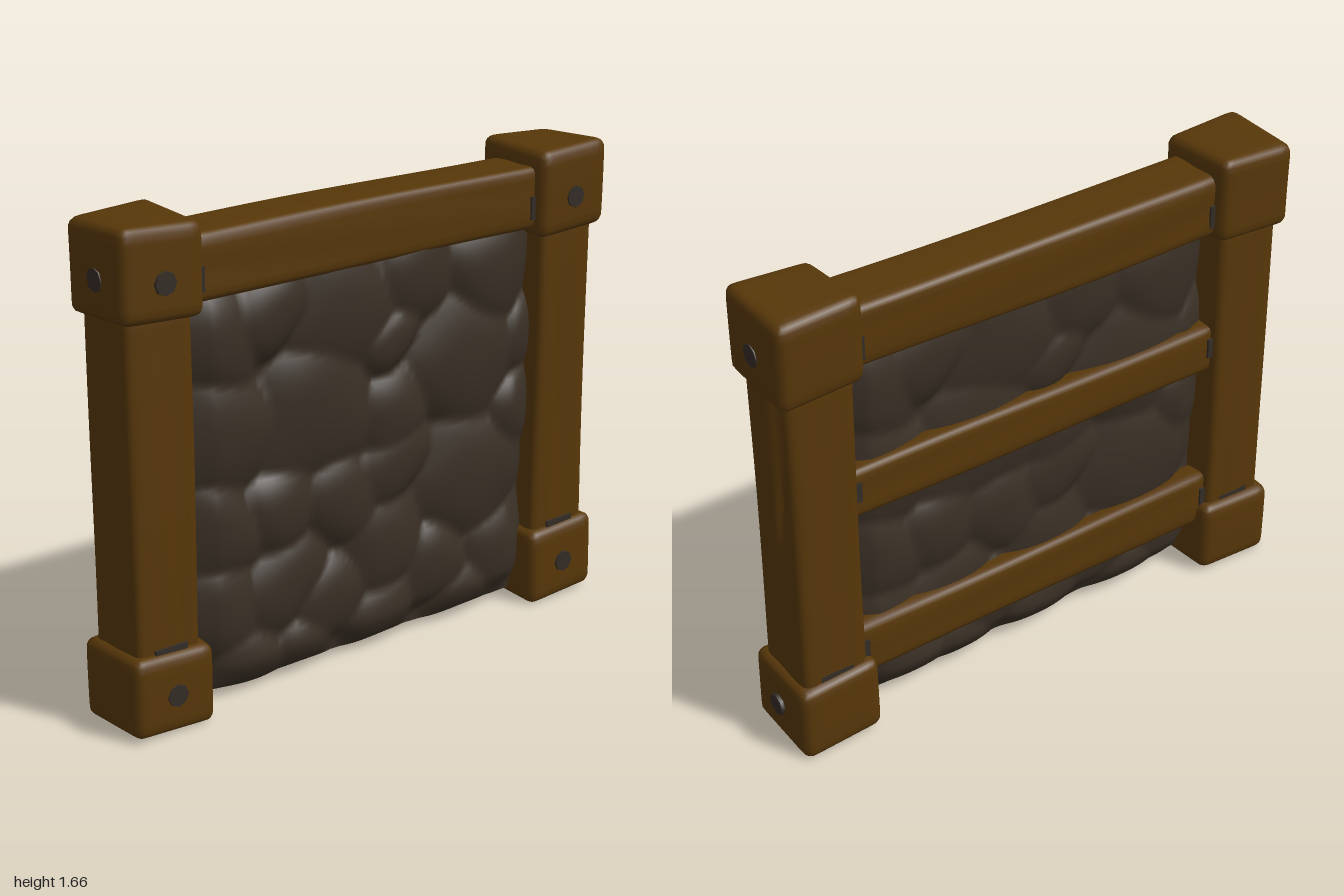
import * as THREE from 'three';
import { mergeVertices } from 'three/addons/utils/BufferGeometryUtils.js';

const mat = (name, color) => Object.assign(new THREE.MeshStandardMaterial({ color }), { name });

// Box with rounded edges, then every vertex passed through a shaping rule
function softBox(w, h, d, r, segs, rule) {
  let g = new THREE.BoxGeometry(w, h, d, ...segs);
  g.deleteAttribute('uv');
  g.deleteAttribute('normal');
  g = mergeVertices(g, 1e-4);
  const p = g.attributes.position, v = new THREE.Vector3(), c = new THREE.Vector3();
  const lim = new THREE.Vector3(w / 2 - r, h / 2 - r, d / 2 - r), low = lim.clone().negate();
  for (let i = 0; i < p.count; i++) {
    v.fromBufferAttribute(p, i);
    c.copy(v).clamp(low, lim);
    v.sub(c);
    if (v.lengthSq() > 0) v.setLength(r);
    v.add(c);
    rule(v);
    p.setXYZ(i, v.x, v.y, v.z);
  }
  g.computeVertexNormals();
  return g;
}

// Gentle hewn unevenness across a timber running along the given axis
const hewn = (axis, seed, amount) => (v) => {
  const t = v[axis];
  for (const [k, a] of ['x', 'y', 'z'].filter((n) => n !== axis).entries()) {
    const o = v[axis === 'x' ? (a === 'y' ? 'z' : 'y') : (a === 'x' ? 'z' : 'x')];
    v[a] *= 1 + amount * (Math.sin(t * 4.3 + seed * 2.1 + k * 1.7) + 0.6 * Math.sin(o * 45 + t * 3 + seed));
  }
};

// Stone centres and radii: x, y, radius
const STONES = [
  [-0.6, 1.22, 0.2], [-0.4, 1.3, 0.17], [-0.1, 1.24, 0.25], [0.2, 1.3, 0.2], [0.55, 1.27, 0.22], [0.08, 1.12, 0.14],
  [-0.6, 0.92, 0.24], [-0.2, 0.92, 0.28], [0.1, 0.85, 0.19], [0.42, 0.97, 0.27], [0.69, 1.0, 0.15],
  [-0.62, 0.6, 0.21], [-0.36, 0.62, 0.18], [-0.1, 0.58, 0.2], [0.1, 0.68, 0.18], [0.46, 0.55, 0.27], [0.68, 0.74, 0.17],
  [-0.6, 0.32, 0.21], [-0.36, 0.36, 0.2], [-0.16, 0.24, 0.18], [0.06, 0.4, 0.22], [0.28, 0.24, 0.18], [0.58, 0.24, 0.2],
  [-0.5, 0.12, 0.18], [-0.28, 0.1, 0.16], [0.06, 0.13, 0.18], [0.42, 0.1, 0.16],
];
function stoneHeight(x, y) {
  const wx = x + 0.02 * Math.sin(y * 14 + x * 5), wy = y + 0.02 * Math.sin(x * 13 + 1);
  let m = 1;
  for (const [sx, sy, r] of STONES) m = Math.min(m, Math.hypot(wx - sx, wy - sy) / r);
  return 1 - m ** 2.5;
}

export function createModel() {
  const model = new THREE.Group();
  const wood = mat('brown wood', 0x573709);
  const stone = mat('dark stone', 0x392f25);
  const iron = mat('iron', 0x342d27);
  const add = (name, geometry, material, x, y, z) => {
    const m = new THREE.Mesh(geometry, material);
    m.name = name;
    m.position.set(x, y, z);
    model.add(m);
    return m;
  };

  // Wall of rounded stones, bulging at front and back and thinning at its foot and sides
  const wallY = 0.72;
  const wall = new THREE.BoxGeometry(1.5, 1.36, 0.08, 90, 82, 1);
  const p = wall.attributes.position;
  for (let i = 0; i < p.count; i++) {
    const x = p.getX(i), y = p.getY(i) + wallY, front = p.getZ(i) > 0;
    const h = stoneHeight(front ? x : -x, y);
    const foot = Math.sqrt(Math.min(1, (y - 0.03) / 0.1));
    const flank = 0.45 + 0.55 * Math.min(1, (0.75 - Math.abs(x)) / 0.12);
    const z = front ? 0.035 + 0.065 * h : -0.03 - 0.05 * h;
    p.setZ(i, 0.02 + (z - 0.02) * foot * flank);
    if (y < 0.05) p.setY(i, p.getY(i) + 0.004 * Math.sin(x * 17));
  }
  wall.computeVertexNormals();
  add('stoneWall', wall, stone, 0, wallY, 0);

  // Top beam and the two rails across the back
  add('topBeam', softBox(1.5, 0.22, 0.22, 0.03, [30, 10, 10], (v) => {
    hewn('x', 1, 0.02)(v);
    v.z -= 0.012 * Math.cos(v.x * 2);
  }), wood, 0, 1.49, 0.003);
  const rails = [[0.93, 0.18], [0.305, 0.2]];
  for (const [i, [y, h]] of rails.entries()) {
    add('backRail', softBox(1.5, h, 0.1, 0.025, [30, 8, 6], hewn('x', 3 + i * 2, 0.03)), wood, 0, y, -0.054);
  }

  // Posts, corner blocks and nails on each side
  for (const side of [-1, 1]) {
    const x = side < 0 ? -0.848 : 0.831;
    const rule = hewn('y', side + 4, 0.015);
    add('post', softBox(0.242, 1.2, 0.25, 0.03, [12, 30, 14], (v) => {
      // Tapering split down the outer face
      const s = (v.y + 0.02) / 0.56, off = Math.abs(v.z + 0.03 + 0.02 * s);
      if (side > 0 && v.x > 0.11 && s > 0) v.x -= 0.04 * Math.max(0, 1 - off / (0.045 * s + 0.01));
      rule(v);
    }), wood, x, 0.82, -0.004);

    for (const top of [true, false]) {
      const y = top ? 1.51 : 0.147, h = top ? 0.3 : 0.275;
      const block = softBox(0.3, h, 0.31, 0.035, [12, 12, 12], (v) => {
        const k = 1 + 0.04 * Math.sin(v.y * 9 + side + (top ? 0 : 2));
        v.x *= 0.98 + 0.02 * k;
        v.z *= 0.6 + 0.4 * k;
        v.y += 0.009 * v.x * side / 0.15 * Math.sign(v.z) * Math.min(1, Math.abs(v.z) / 0.15);
      });
      add('cornerBlock', block, wood, x, y, -0.002);

      // Nail heads on the front and outer faces
      const nailY = top ? 1.485 : 0.142;
      const head = new THREE.CylinderGeometry(0.038, 0.042, 0.03, 8);
      add('frontNail', head, iron, x, nailY, 0.145).rotation.x = Math.PI / 2;
      if (side > 0 || top) {
        add('sideNail', head, iron, x + side * (top ? 0.139 : 0.147), nailY + 0.005, 0.005).rotation.z = -side * Math.PI / 2;
      }
    }

    // Thin iron collar where the post meets the lower block
    add('collar', new THREE.BoxGeometry(0.12, 0.025, 0.26), iron, x, 0.288, 0);

    // Small iron brackets where the beam and rails meet the frame
    add('beamBracket', new THREE.BoxGeometry(0.03, 0.08, 0.236), iron, x - side * 0.152, 1.46, 0);
    for (const [y] of rails) {
      add('railBracket', new THREE.BoxGeometry(0.03, 0.07, 0.1), iron, x - side * 0.124, y + 0.01, -0.06);
    }
  }
  return model;
}
